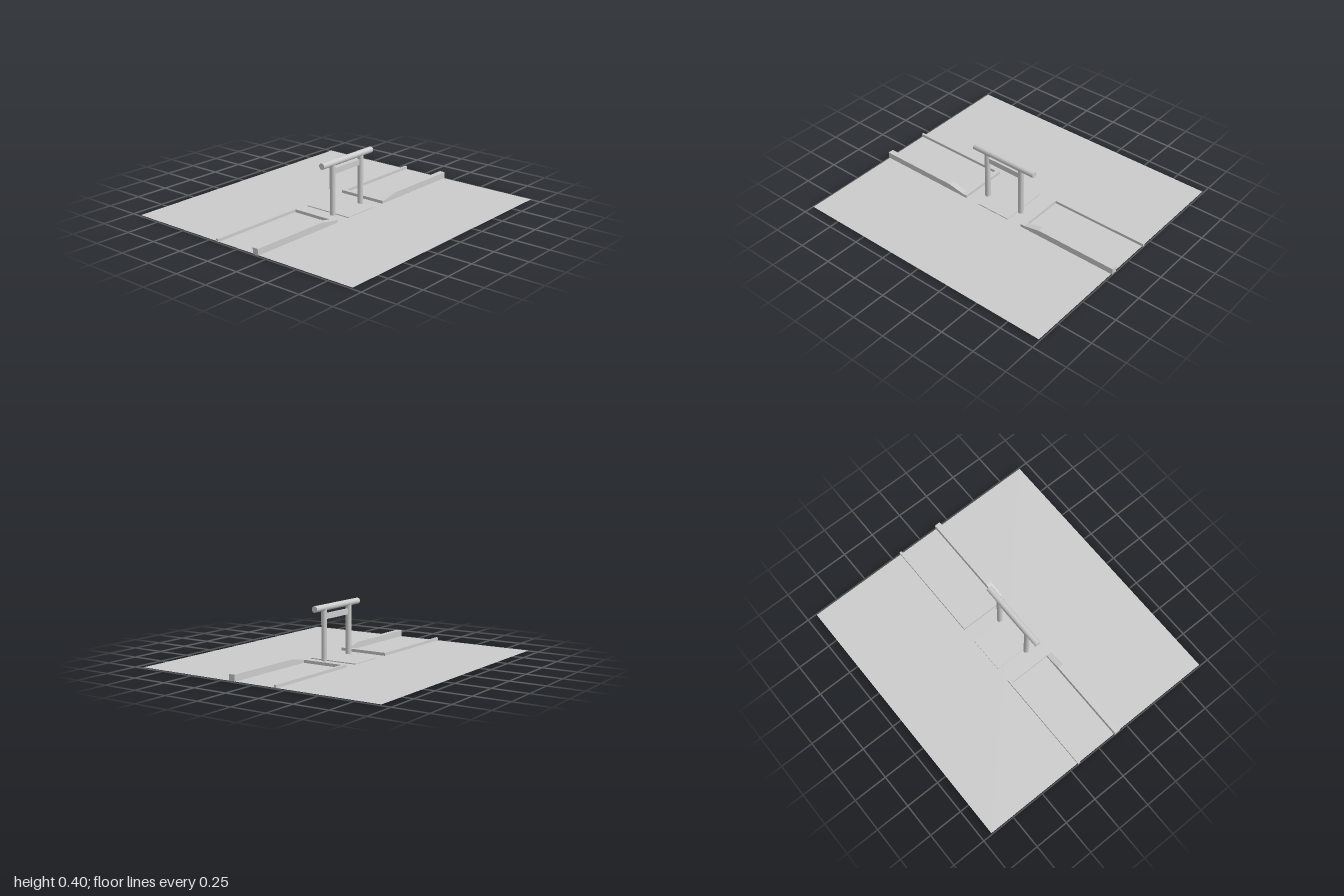
import * as THREE from 'three';

const grey = new THREE.MeshStandardMaterial({ color: 0xcccccc, side: THREE.DoubleSide });
const GROUND = 0.005;

function add(parent, name, geometry, x = 0, y = 0, z = 0) {
  const mesh = new THREE.Mesh(geometry, grey);
  mesh.name = name;
  mesh.position.set(x, y, z);
  parent.add(mesh);
  return mesh;
}

// One U-shaped island; side = 1 for the front, -1 for the back
function island(side) {
  const group = new THREE.Group();
  group.name = side > 0 ? 'frontIsland' : 'backIsland';

  // Low kerb along the left edge and across the inner end
  const plan = new THREE.Shape([
    [-0.185, 0.243], [0.14, 0.243], [0.14, 0.275], [-0.168, 0.275], [-0.168, 1], [-0.185, 1],
  ].map(([x, z]) => new THREE.Vector2(x, -z * side)));
  const low = new THREE.ExtrudeGeometry(plan, { depth: 0.021, bevelEnabled: false });
  low.rotateX(-Math.PI / 2);
  add(group, 'lowKerb', low, 0, GROUND, 0);

  // Tall kerb that ramps down to the low one
  const profile = new THREE.Shape([
    [0.243, GROUND], [1, GROUND], [1, 0.05], [0.4, 0.05], [0.275, 0.026], [0.243, 0.026],
  ].map(([z, y]) => new THREE.Vector2(-z * side, y)));
  const tall = new THREE.ExtrudeGeometry(profile, { depth: 0.043, bevelEnabled: false });
  tall.rotateY(Math.PI / 2);
  add(group, 'tallKerb', tall, 0.14, 0, 0);
  return group;
}

export function createModel() {
  const model = new THREE.Group();
  model.name = 'railedCrossing';

  // Ground sheet
  const sheet = new THREE.PlaneGeometry(1.86, 1.985);
  sheet.rotateX(-Math.PI / 2);
  add(model, 'ground', sheet, 0, GROUND, 0);

  // Thin pad under the rail
  add(model, 'pad', new THREE.BoxGeometry(0.366, 0.006, 0.262), 0, GROUND + 0.003, 0);

  model.add(island(1), island(-1));

  // Rail: two posts, a round top bar and a flat board between the posts
  const rail = new THREE.Group();
  rail.name = 'rail';
  rail.position.x = 0.06;
  for (const s of [1, -1]) {
    add(rail, s > 0 ? 'frontPost' : 'backPost',
      new THREE.CylinderGeometry(0.02, 0.02, 0.37, 32), 0, 0.185, s * 0.148);
  }
  const bar = new THREE.CylinderGeometry(0.022, 0.022, 0.52, 32);
  bar.rotateX(Math.PI / 2);
  add(rail, 'topBar', bar, 0, 0.374, 0);
  add(rail, 'board', new THREE.BoxGeometry(0.014, 0.04, 0.26), 0, 0.313, 0);
  model.add(rail);

  return model;
}
